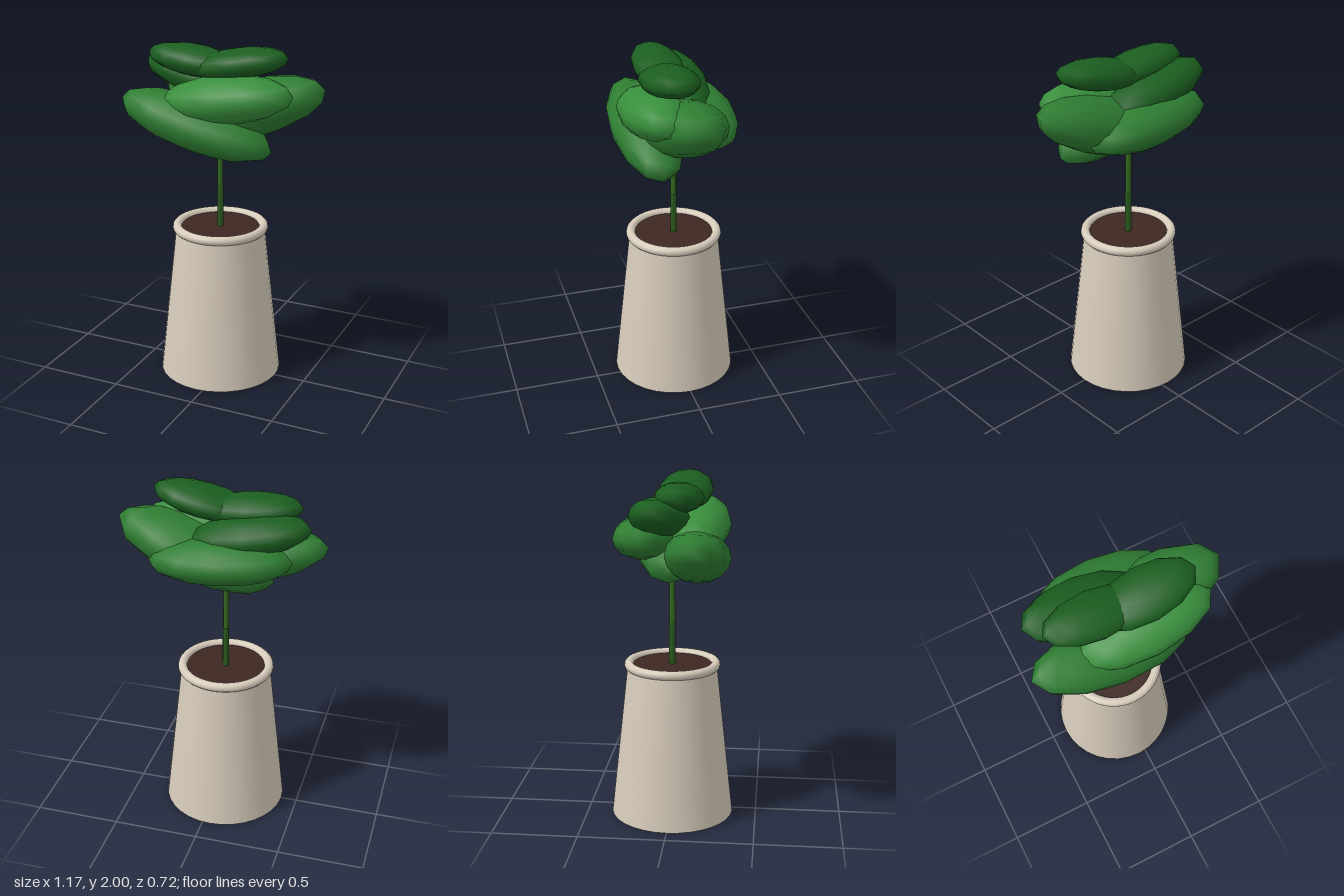
import * as THREE from 'three';

const AXIS_X = -0.045; // pot and stem share this vertical axis

const material = (color) => new THREE.MeshStandardMaterial({ color });

export function createModel() {
  const model = new THREE.Group();
  model.name = 'pottedPlant';

  const add = (name, geometry, color, x, y, z, parent = model) => {
    const mesh = new THREE.Mesh(geometry, material(color));
    mesh.name = name;
    mesh.position.set(x, y, z);
    parent.add(mesh);
    return mesh;
  };

  // Pot: tapered body, rounded rim and soil just above the top cap
  const clay = 0xd7ccbb;
  add('potBody', new THREE.CylinderGeometry(0.26, 0.36, 0.91, 32), clay, AXIS_X, 0.455, 0);
  const rim = add('potRim', new THREE.TorusGeometry(0.253, 0.027, 12, 48), clay, AXIS_X, 0.91, 0);
  rim.rotation.x = Math.PI / 2;
  add('soil', new THREE.CylinderGeometry(0.235, 0.235, 0.02, 32), 0x3e2723, AXIS_X, 0.902, 0);

  // Stem: thicker lower section, thinner upper section
  add('lowerStem', new THREE.CylinderGeometry(0.019, 0.02, 0.26, 8), 0x2a5a1e, AXIS_X, 1.03, 0);
  add('upperStem', new THREE.CylinderGeometry(0.016, 0.017, 0.45, 8), 0x33691e, AXIS_X, 1.375, 0);

  // Foliage: flattened spheres, each tilted sideways
  const foliage = new THREE.Group();
  foliage.name = 'foliage';
  model.add(foliage);
  const dark = 0x1b5e20, mid = 0x2e7d32, light = 0x388e3c;
  const leafGeometry = new THREE.SphereGeometry(1, 12, 8);
  // name, colour, centre, half sizes, tilt
  const leaves = [
    ['lowerFrontLeaf', mid, [-0.13, 1.555, 0.15], [0.475, 0.145, 0.19], -0.236],
    ['upperFrontLeaf', light, [0.055, 1.715, 0.15], [0.4, 0.135, 0.18], 0.14],
    ['leftLeaf', mid, [0.13, 1.635, 0], [0.475, 0.16, 0.225], 0.33],
    ['backLeaf', mid, [-0.045, 1.655, -0.15], [0.41, 0.125, 0.187], -0.08],
    ['rightLeaf', dark, [-0.185, 1.785, -0.06], [0.355, 0.11, 0.17], -0.2],
    ['topRightLeaf', dark, [-0.175, 1.895, 0.05], [0.29, 0.085, 0.14], -0.1],
    ['topLeftLeaf', dark, [0.1, 1.905, 0.067], [0.295, 0.085, 0.157], 0.18],
  ];
  for (const [name, color, centre, size, tilt] of leaves) {
    const leaf = add(name, leafGeometry, color, ...centre, foliage);
    leaf.scale.set(...size);
    leaf.rotation.z = tilt;
  }

  return model;
}
